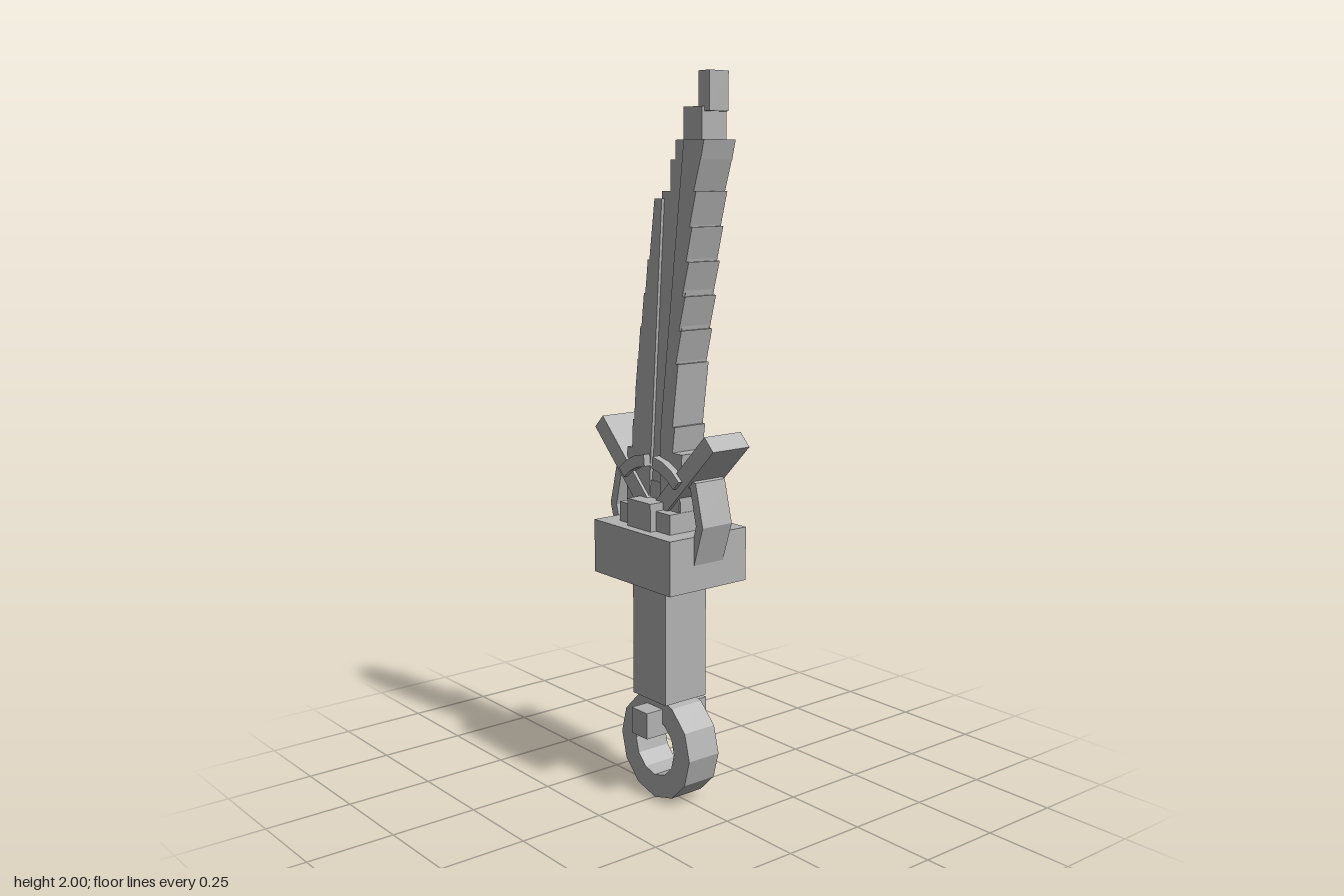
import * as THREE from 'three';

export function createModel() {
  const root = new THREE.Group();
  root.name = 'sword';
  const grey = new THREE.MeshStandardMaterial({ color: 0xb2b2b2 });
  grey.name = 'grey';

  const add = (name, geo, x = 0, y = 0, z = 0) => {
    const m = new THREE.Mesh(geo, grey);
    m.name = name;
    m.position.set(x, y, z);
    root.add(m);
    return m;
  };
  const box = (name, x0, x1, y0, y1, d) =>
    add(name, new THREE.BoxGeometry(x1 - x0, y1 - y0, d * 2), (x0 + x1) / 2, (y0 + y1) / 2);
  // flat outline extruded from z - d to z + d
  const plate = (name, pts, d, z = 0, hole) => {
    const shape = new THREE.Shape(pts.map(p => new THREE.Vector2(...p)));
    if (hole) shape.holes.push(new THREE.Path(hole.map(p => new THREE.Vector2(...p))));
    const geo = new THREE.ExtrudeGeometry(shape, { depth: d * 2, bevelEnabled: false });
    return add(name, geo, 0, 0, z - d);
  };
  const arc = (cy, r, a0, a1, n) => Array.from({ length: n + 1 }, (_, i) => {
    const a = (a0 + (a1 - a0) * i / n) * Math.PI / 180;
    return [r * Math.cos(a), cy + r * Math.sin(a)];
  });

  // pommel ring, pin and grip
  plate('pommelRing', arc(0.156, 0.152, 0, 330, 11), 0.053, 0, arc(0.156, 0.085, 0, 330, 11));
  box('pommelPin', -0.034, 0.034, 0.2, 0.275, 0.108);
  box('grip', -0.072, 0.072, 0.3, 0.65, 0.072);

  // guard block with stepped blocks on top
  box('guard', -0.167, 0.167, 0.645, 0.795, 0.134);
  box('guardStep', -0.11, 0.11, 0.79, 0.85, 0.088);
  box('guardCentre', -0.05, 0.05, 0.79, 0.872, 0.107);
  box('bladeSocket', -0.108, 0.108, 0.79, 0.92, 0.05);

  for (const s of [-1, 1]) {
    // slanted wing plate
    const wing = add('wing', new THREE.BoxGeometry(0.34, 0.05, 0.126), s * 0.118, 0.936);
    wing.rotation.z = s * Math.PI / 4;

    // bent side bracket
    const band = [[0.165, 0.71], [0.202, 0.825], [0.172, 0.942], [0.11, 0.965],
      [0.11, 0.93], [0.15, 0.925], [0.174, 0.825], [0.15, 0.74]];
    plate('sideBracket', band.map(([x, y]) => [s * x, y]), 0.051);

    // arched ribs on both faces of the blade root
    const rib = [...arc(0.81, 0.185, 45, 84, 3), ...arc(0.81, 0.152, 84, 45, 3)];
    plate('archRib', rib.map(([x, y]) => [s * x, y]), 0.075);
  }

  // leaning blade: thin core between two thicker stepped edges
  plate('bladeCore', [[-0.05, 0.85], [0.06, 0.85], [0.085, 1.2], [0.175, 1.79],
    [0.175, 1.83], [0.08, 1.83], [0.08, 1.78], [0.06, 1.78], [0.06, 1.7], [0.025, 1.7],
    [0.02, 1.6], [-0.02, 1.2]], 0.045);

  // each edge step: [bottom y, top y, outer x at bottom, outer x at top]
  const backSteps = [
    [0.85, 1.0, -0.122, -0.118], [1.0, 1.08, -0.097, -0.093], [1.08, 1.17, -0.087, -0.08],
    [1.17, 1.25, -0.08, -0.07], [1.25, 1.34, -0.068, -0.058], [1.34, 1.43, -0.053, -0.042],
    [1.43, 1.52, -0.036, -0.025], [1.52, 1.68, -0.018, 0.004],
  ];
  const backInner = y => -0.02 + (y - 0.9) * 0.07;
  for (const [y0, y1, x0, x1] of backSteps)
    plate('bladeBackStep', [[x0, y0], [backInner(y0), y0], [backInner(y1), y1], [x1, y1]], 0.054);

  const frontSteps = [
    [0.85, 1.01, 0.105, 0.118], [1.01, 1.08, 0.078, 0.088], [1.08, 1.25, 0.078, 0.101],
    [1.25, 1.34, 0.092, 0.115], [1.34, 1.43, 0.105, 0.13], [1.43, 1.52, 0.118, 0.144],
    [1.52, 1.61, 0.133, 0.157], [1.61, 1.7, 0.147, 0.172], [1.7, 1.78, 0.163, 0.189],
    [1.78, 1.83, 0.19, 0.203],
  ];
  const frontInner = y => 0.025 + Math.max(0, y - 1.05) * 0.125;
  for (const [y0, y1, x0, x1] of frontSteps)
    plate('bladeEdgeStep', [[frontInner(y0), y0], [x0, y0], [x1, y1], [frontInner(y1), y1]], 0.053);

  // stepped tip
  box('tipBase', 0.107, 0.18, 1.8, 1.912, 0.041);
  box('tip', 0.156, 0.198, 1.9, 2.0, 0.032);
  return root;
}
